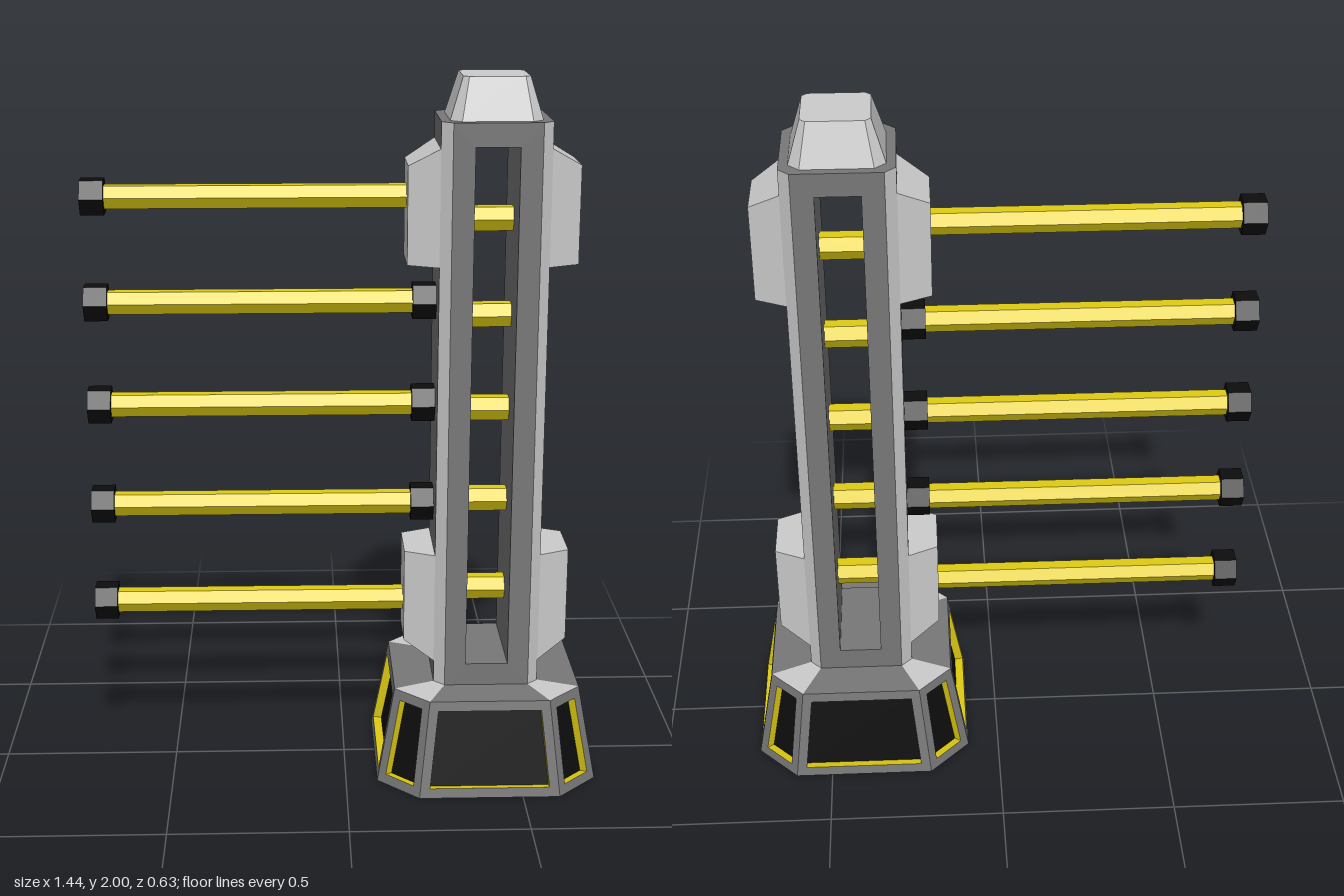
import * as THREE from 'three';

const mat = (color) => new THREE.MeshStandardMaterial({ color, flatShading: true });
const CX = 0.405; // tower axis

// Chamfered-square ring of 8 points; even sides are the long flats, odd ones the corners.
function ring(h, f, y) {
  return [[-f, h], [f, h], [h, f], [h, -f], [f, -h], [-f, -h], [-h, -f], [-h, f]]
    .map(([x, z]) => new THREE.Vector3(x, y, z));
}

// Mesh from flat convex polygons with counter-clockwise corners.
function polyMesh(name, polys, material) {
  const pos = [];
  for (const p of polys)
    for (let i = 1; i < p.length - 1; i++)
      for (const v of [p[0], p[i], p[i + 1]]) pos.push(v.x, v.y, v.z);
  const g = new THREE.BufferGeometry();
  g.setAttribute('position', new THREE.Float32BufferAttribute(pos, 3));
  g.computeVertexNormals();
  const m = new THREE.Mesh(g, material);
  m.name = name;
  return m;
}

// Quads joining two closed loops.
const band = (a, b) => a.map((p, i) => {
  const j = (i + 1) % a.length;
  return [p, a[j], b[j], b[i]];
});

export function createModel() {
  const dark = mat(0x777777), light = mat(0xcccccc), yellow = mat(0xe0cc12), black = mat(0x0d0d0d);
  const model = new THREE.Group();
  const tower = new THREE.Group();
  tower.name = 'tower';
  tower.position.x = CX;
  model.add(tower);

  const add = (name, geometry, material, x, y, z, parent = tower) => {
    const m = new THREE.Mesh(geometry, material);
    m.name = name;
    m.position.set(x, y, z);
    parent.add(m);
    return m;
  };

  // Base: eight framed sides, each with a recessed panel
  const bottom = ring(0.315, 0.2, 0), top = ring(0.265, 0.17, 0.275);
  const frame = [bottom.slice().reverse()], walls = [], panels = [];
  for (const outer of band(bottom, top)) {
    const [a, b, c, d] = outer;
    const n = b.clone().sub(a).cross(d.clone().sub(a)).normalize();
    const inset = (lo0, lo1, hi0, hi1, u, v) => {
      const l = lo0.clone().lerp(hi0, v), r = lo1.clone().lerp(hi1, v);
      const s = 0.027 / l.distanceTo(r);
      return l.lerp(r, u ? 1 - s : s);
    };
    const inner = [[0, 0.1], [1, 0.1], [1, 0.9], [0, 0.9]].map(([u, v]) => inset(a, b, d, c, u, v));
    const floor = inner.map((p) => p.clone().addScaledVector(n, -0.025));
    frame.push(...band(outer, inner));
    walls.push(...band(inner, floor));
    panels.push(floor);
  }
  const deck = band(top, ring(0.15, 0.12, 0.275));
  frame.push(...deck.filter((_, i) => i % 2 === 0));
  tower.add(
    polyMesh('baseFrame', frame, dark),
    polyMesh('basePanelTrim', walls, yellow),
    polyMesh('basePanels', panels, black),
    polyMesh('baseDeckCorners', deck.filter((_, i) => i % 2), light),
  );

  // Column: slotted core, side slabs and chamfered corner strips
  const y0 = 0.275, y1 = 1.885, H = y1 - y0;
  const core = new THREE.Shape([[-0.12, y0], [0.12, y0], [0.12, y1], [-0.12, y1]].map((p) => new THREE.Vector2(...p)));
  core.holes.push(new THREE.Path([[-0.06, 0.34], [-0.06, 1.82], [0.06, 1.82], [0.06, 0.34]].map((p) => new THREE.Vector2(...p))));
  add('columnCore', new THREE.ExtrudeGeometry(core, { depth: 0.3, bevelEnabled: false }), dark, 0, 0, -0.15);
  for (const s of [-1, 1])
    add('columnSide', new THREE.BoxGeometry(0.03, H, 0.24), dark, s * 0.135, (y0 + y1) / 2, 0);
  const strip = new THREE.Shape([[0.12, 0.12], [0.15, 0.12], [0.12, 0.15]].map((p) => new THREE.Vector2(...p)));
  const stripGeo = new THREE.ExtrudeGeometry(strip, { depth: H, bevelEnabled: false }).rotateX(-Math.PI / 2);
  for (let i = 0; i < 4; i++)
    add('columnCorner', stripGeo, [dark, light], 0, y0, 0).rotation.y = i * Math.PI / 2;

  // Tapered cap on the column
  const capLow = ring(0.125, 0.095, y1), capHigh = ring(0.09, 0.075, 2);
  tower.add(polyMesh('topCap', [...band(capLow, capHigh), capHigh], light));

  // Side housings: upper pair tapers upward, lower pair downward
  const rect = (x, z, h) => [[0, z], [0, -z], [h, -z], [h, z]].map(([y, w]) => new THREE.Vector3(x, y, w));
  const root = rect(0.15, 0.12, 0.322), face = rect(0.235, 0.08, 0.272);
  for (const side of [0, Math.PI])
    for (const [y, flip] of [[1.49, 0], [0.66, Math.PI]]) {
      const h = polyMesh('sideHousing', [...band(root, face), face], light);
      h.position.y = y;
      h.rotation.set(flip, side, 0);
      tower.add(h);
    }

  // Hexagonal rods along x, flat side up
  const hex = (r, len) => new THREE.CylinderGeometry(r, r, len, 6).rotateZ(Math.PI / 2);
  const rodGeo = hex(0.036, 0.91), pinGeo = hex(0.038, 0.14), collarGeo = hex(0.055, 0.065);
  // Hollow end cap, open toward -x
  const tipGeo = new THREE.LatheGeometry(
    [[0, -0.0325], [0.055, -0.0325], [0.055, 0.0325], [0.032, 0.0325], [0.032, 0.012]].map((p) => new THREE.Vector2(...p)), 6,
  ).rotateZ(Math.PI / 2);
  const plugGeo = hex(0.032, 0.03);
  for (let i = 0; i < 5; i++) {
    const rod = new THREE.Group();
    rod.name = 'rod';
    rod.position.y = 0.49 + i * 0.295;
    model.add(rod);
    add('rodBar', rodGeo, yellow, -0.205, 0, 0, rod);
    add('rodCollar', collarGeo, black, 0.222, 0, 0, rod);
    add('rodTip', tipGeo, black, -0.6875, 0, 0, rod);
    add('rodTipPlug', plugGeo, dark, -0.69, 0, 0, rod);
    // Short pin across the column slot
    add('slotPin', pinGeo, yellow, 0, 0.522 + i * 0.271, 0);
  }
  return model;
}
